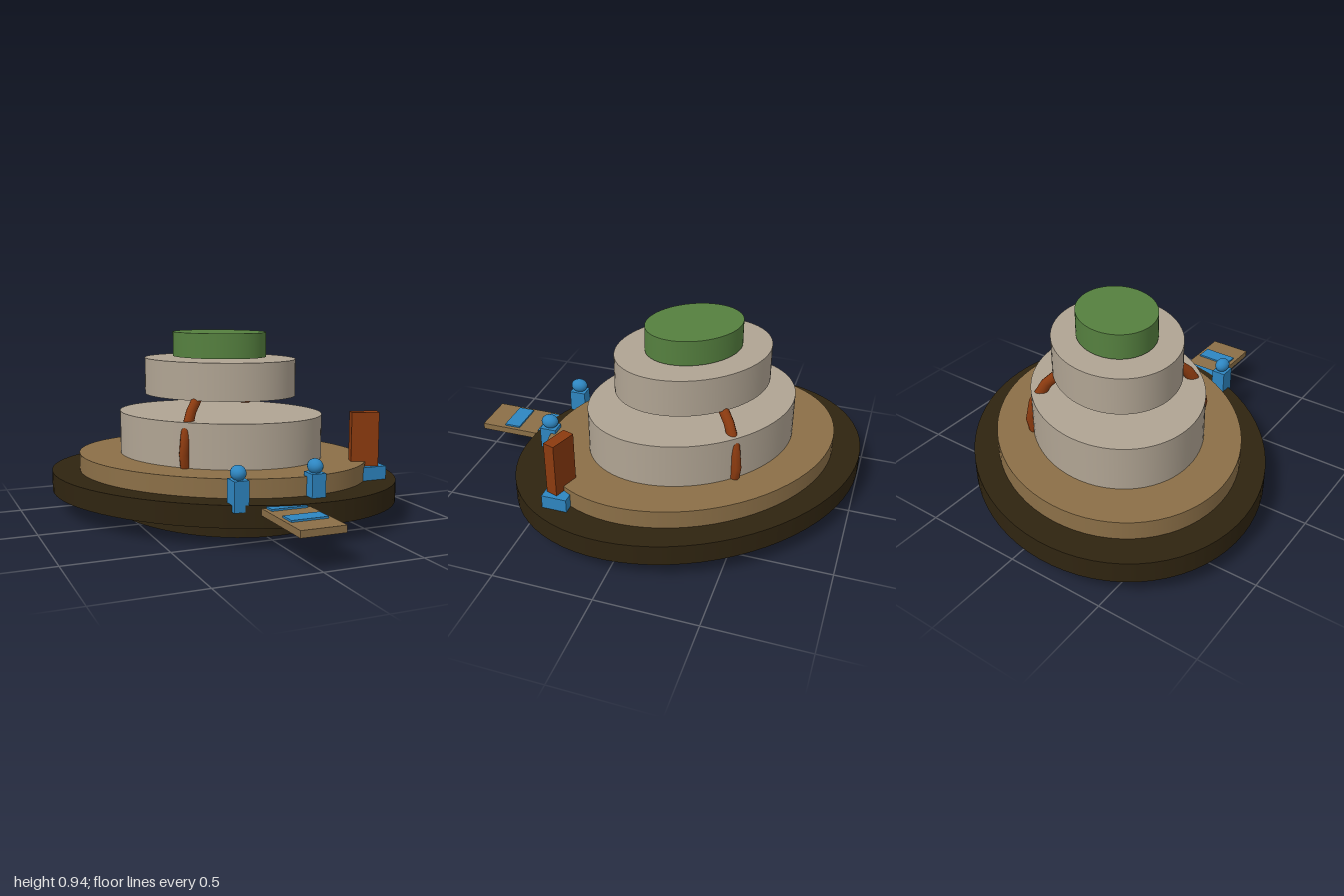
import * as THREE from 'three';

const material = (name, color) => {
  const m = new THREE.MeshStandardMaterial({ color });
  m.name = name;
  return m;
};

export function createModel() {
  const model = new THREE.Group();
  model.name = 'tieredPlatform';

  const dark = material('darkWood', 0x2f2410);
  const brown = material('tanWood', 0x8b6f47);
  const stone = material('stone', 0xb0a493);
  const green = material('green', 0x55803f);
  const rust = material('rust', 0x8b3a0f);
  const blue = material('blue', 0x2e86c1);

  const CZ = -0.163; // centre of the oval tiers

  const add = (name, geometry, mat, x, y, z, parent = model) => {
    const mesh = new THREE.Mesh(geometry, mat);
    mesh.name = name;
    mesh.position.set(x, y, z);
    parent.add(mesh);
    return mesh;
  };
  const box = (name, mat, w, h, d, x, y, z, parent) =>
    add(name, new THREE.BoxGeometry(w, h, d), mat, x, y, z, parent);

  // Oval tiers: half axes a and b, from y0 to y1, turned about y
  const tier = (name, mat, a, b, y0, y1, turn = -Math.PI / 4) => {
    const mesh = add(name, new THREE.CylinderGeometry(1, 1, y1 - y0, 72), mat, 0, (y0 + y1) / 2, CZ);
    mesh.scale.set(a, 1, b);
    mesh.rotation.y = turn;
  };
  tier('lowerDisc', dark, 0.742, 0.583, 0.045, 0.09, -Math.PI / 2);
  tier('baseDisc', dark, 0.934, 0.734, 0.1, 0.207);
  tier('deck', brown, 0.778, 0.612, 0.207, 0.3);
  tier('lowerTower', stone, 0.547, 0.43, 0.3, 0.525);
  tier('upperTower', stone, 0.406, 0.319, 0.617, 0.806);
  tier('roofGarden', green, 0.251, 0.198, 0.815, 0.942);

  // Upright oval ring threaded through the tiers
  const ring = add('ring', new THREE.TorusGeometry(0.341, 0.025, 10, 20), rust, 0, 0.368, CZ);
  ring.scale.x = 1.27;
  ring.rotation.y = Math.PI / 4;

  // Gangway with two treads
  box('gangway', brown, 0.22, 0.033, 0.5, 0, 0.177, 0.75);
  for (const z of [0.64, 0.835]) box('tread', blue, 0.18, 0.009, 0.085, 0, 0.198, z);

  // Two guards beside the gangway
  for (const side of [-1, 1]) {
    const guard = new THREE.Group();
    guard.name = 'guard';
    guard.position.set(side * 0.195, 0, 0.55);
    model.add(guard);
    box('guardBody', blue, 0.072, 0.145, 0.085, 0, 0.248, 0, guard);
    const head = add('guardHead', new THREE.SphereGeometry(0.036, 20, 14), blue, 0, 0.35, 0, guard);
    head.scale.z = 1.25;
  }

  // Standing slab on its plinth
  box('plinth', blue, 0.138, 0.075, 0.125, 0.629, 0.2375, 0.308);
  const slab = box('slab', rust, 0.14, 0.3, 0.06, 0.601, 0.4, 0.308);
  slab.rotation.y = -0.31;

  return model;
}
